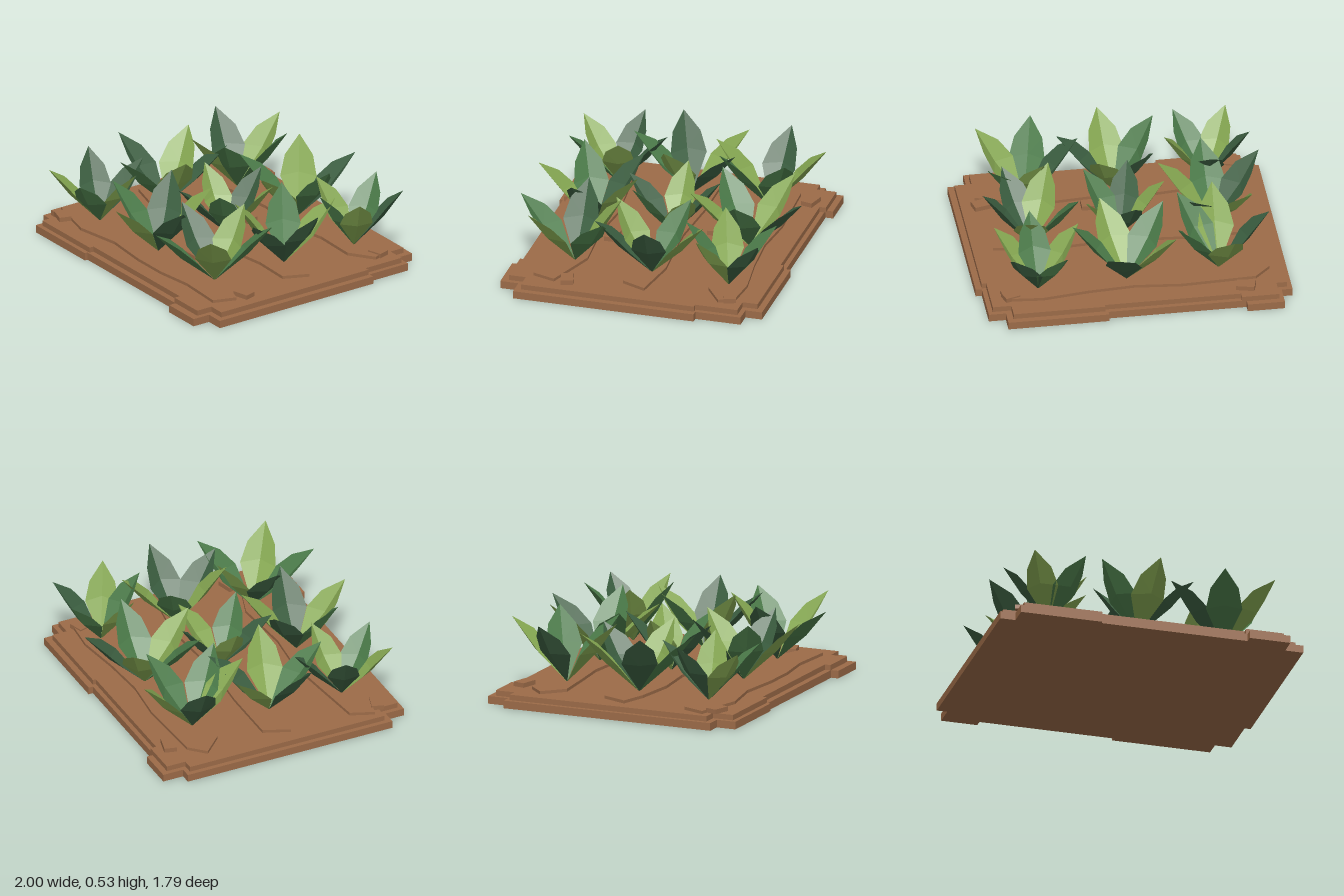
import * as THREE from 'three';

const mat = (name, color) => {
  const m = new THREE.MeshStandardMaterial({ color, side: THREE.DoubleSide, flatShading: true });
  m.name = name;
  return m;
};

export function createModel() {
  const model = new THREE.Group();
  model.name = 'leafyPlantBed';
  const soil = mat('brownSoil', 0x9c6b48);
  const leafMats = {
    L: mat('limeLeaf', 0x86a852),
    G: mat('greenLeaf', 0x4c7c4a),
    D: mat('darkGreenLeaf', 0x3c5f41),
  };

  // Flat slab from an outline of [x, z] points
  const slab = (name, pts, y0, y1) => {
    const shape = new THREE.Shape(pts.map(([x, z]) => new THREE.Vector2(x, -z)));
    const geo = new THREE.ExtrudeGeometry(shape, { depth: y1 - y0, bevelEnabled: false });
    geo.rotateX(-Math.PI / 2).translate(0, y0, 0);
    const mesh = new THREE.Mesh(geo, soil);
    mesh.name = name;
    model.add(mesh);
  };

  // Two stepped ground layers with notched corners
  slab('lowerGround', [
    [-1, -0.72], [-0.93, -0.72], [-0.93, -0.86], [-0.69, -0.86], [-0.69, -0.81], [0.2, -0.81],
    [0.2, -0.84], [0.85, -0.84], [0.85, -0.73], [0.96, -0.73], [0.96, -0.43], [1, -0.43],
    [1, 0.77], [0.88, 0.77], [0.88, 0.89], [0.61, 0.89], [0.61, 0.84], [-0.36, 0.84],
    [-0.36, 0.86], [-0.9, 0.86], [-0.9, 0.73], [-1, 0.73],
  ], 0, 0.05);
  slab('upperGround', [
    [-0.97, -0.69], [-0.9, -0.69], [-0.9, -0.82], [-0.66, -0.82], [-0.66, -0.78], [0.22, -0.78],
    [0.22, -0.8], [0.81, -0.8], [0.81, -0.7], [0.93, -0.7], [0.93, -0.42], [0.96, -0.42],
    [0.96, 0.73], [0.85, 0.73], [0.85, 0.84], [0.6, 0.84], [0.6, 0.8], [-0.35, 0.8],
    [-0.35, 0.83], [-0.87, 0.83], [-0.87, 0.69], [-0.97, 0.69],
  ], 0.05, 0.085);

  // Raised wavy planting rows
  slab('backRow', [
    [-0.88, -0.52], [-0.78, -0.62], [-0.3, -0.64], [0, -0.61], [0.3, -0.63], [0.6, -0.67], [0.82, -0.65],
    [0.86, -0.55], [0.7, -0.44], [0.4, -0.45], [0.2, -0.41], [-0.2, -0.44], [-0.4, -0.42], [-0.75, -0.39],
  ], 0.085, 0.105);
  slab('middleRow', [
    [-0.88, 0.07], [-0.81, -0.1], [-0.4, -0.1], [0, -0.07], [0.2, -0.08], [0.5, -0.1], [0.83, -0.05],
    [0.76, 0.11], [0.5, 0.1], [0.2, 0.14], [-0.1, 0.12], [-0.4, 0.15], [-0.7, 0.12],
  ], 0.085, 0.105);
  slab('frontRow', [
    [-0.93, 0.64], [-0.87, 0.49], [-0.5, 0.45], [-0.2, 0.42], [0.1, 0.45], [0.5, 0.42], [0.86, 0.54],
    [0.81, 0.69], [0.5, 0.67], [0.25, 0.7], [0, 0.7], [-0.3, 0.67], [-0.6, 0.72],
  ], 0.085, 0.105);

  // Loose clods: x, z, width, depth, turn
  [
    [-0.7, -0.71, 0.12, 0.08, -0.25], [0.8, -0.61, 0.1, 0.08, 0.3], [0.83, 0.46, 0.11, 0.08, 0.25],
    [-0.83, 0.7, 0.12, 0.08, -0.3], [-0.13, -0.24, 0.12, 0.08, 0.1], [0.14, 0.36, 0.12, 0.08, 0],
  ].forEach(([x, z, w, d, turn]) => {
    const clod = new THREE.Mesh(new THREE.BoxGeometry(w, 0.03, d), soil);
    clod.name = 'soilClod';
    clod.position.set(x, 0.1, z);
    clod.rotation.y = turn;
    model.add(clod);
  });

  // Folded leaf from root to tip: a low midrib with raised edges on both sides
  const leaf = (tip, material, size) => {
    const along = tip.clone();
    const side = new THREE.Vector3(-tip.z, 0, tip.x).normalize();
    const up = new THREE.Vector3().crossVectors(side, along).normalize();
    if (up.y < 0) up.negate();
    const at = (t, s, u) => along.clone().multiplyScalar(t)
      .addScaledVector(side, s * size).addScaledVector(up, u * size);
    const rib = [at(0, 0, 0), at(0.55, 0, -0.02), at(1, 0, 0)];
    const tris = [];
    for (const s of [1, -1]) {
      const a = at(0.47, 0.11 * s, 0.025), b = at(0.73, 0.085 * s, 0.025);
      const faces = [[rib[0], rib[1], a], [rib[1], b, a], [rib[1], rib[2], b]];
      for (const [p, q, r] of faces) tris.push(...(s > 0 ? [p, r, q] : [p, q, r]));
    }
    const geo = new THREE.BufferGeometry().setFromPoints(tris);
    geo.computeVertexNormals();
    const mesh = new THREE.Mesh(geo, material);
    mesh.name = 'leaf';
    return mesh;
  };

  // Plants: root x, z, leaf length, then tip x, z and colour of each leaf
  [
    [-0.56, -0.475, 0.55, [-0.61, -0.84, 'L'], [-0.27, -0.66, 'G'], [-0.33, -0.21, 'G'], [-0.57, -0.12, 'L'], [-0.88, -0.53, 'D']],
    [0.04, -0.52, 0.55, [0.14, -0.9, 'D'], [0.39, -0.52, 'G'], [0.16, -0.15, 'L'], [-0.235, -0.26, 'G'], [-0.25, -0.74, 'L']],
    [0.615, -0.55, 0.5, [0.47, -0.83, 'G'], [0.81, -0.8, 'D'], [0.88, -0.41, 'L'], [0.63, -0.27, 'G'], [0.34, -0.45, 'L']],
    [-0.6, 0.05, 0.55, [-0.81, -0.27, 'L'], [-0.41, -0.29, 'D'], [-0.26, 0.14, 'L'], [-0.58, 0.43, 'G'], [-0.92, 0.2, 'D']],
    [0, 0, 0.48, [-0.05, -0.3, 'D'], [0.25, -0.18, 'L'], [0.21, 0.21, 'G'], [-0.09, 0.32, 'D'], [-0.28, -0.02, 'L']],
    [0.58, -0.03, 0.53, [0.64, -0.39, 'L'], [0.9, -0.07, 'D'], [0.72, 0.31, 'D'], [0.43, 0.25, 'L'], [0.3, -0.21, 'G']],
    [-0.63, 0.55, 0.49, [-0.62, 0.22, 'D'], [-0.35, 0.47, 'L'], [-0.46, 0.83, 'G'], [-0.8, 0.83, 'L'], [-0.9, 0.45, 'D']],
    [-0.03, 0.52, 0.54, [-0.25, 0.26, 'D'], [0.11, 0.2, 'L'], [0.33, 0.58, 'D'], [0.02, 0.89, 'L'], [-0.31, 0.68, 'G']],
    [0.55, 0.49, 0.55, [0.47, 0.2, 'L'], [0.82, 0.23, 'G'], [0.83, 0.72, 'L'], [0.45, 0.88, 'G'], [0.2, 0.5, 'D']],
  ].forEach(([x, z, length, ...tips]) => {
    const plant = new THREE.Group();
    plant.name = 'plant';
    plant.position.set(x, 0.1, z);
    for (const [tx, tz, key] of tips) {
      const r2 = (tx - x) ** 2 + (tz - z) ** 2;
      const rise = Math.min(0.43, Math.sqrt(length * length - r2));
      plant.add(leaf(new THREE.Vector3(tx - x, rise, tz - z), leafMats[key], length / 0.52));
    }
    model.add(plant);
  });
  return model;
}
